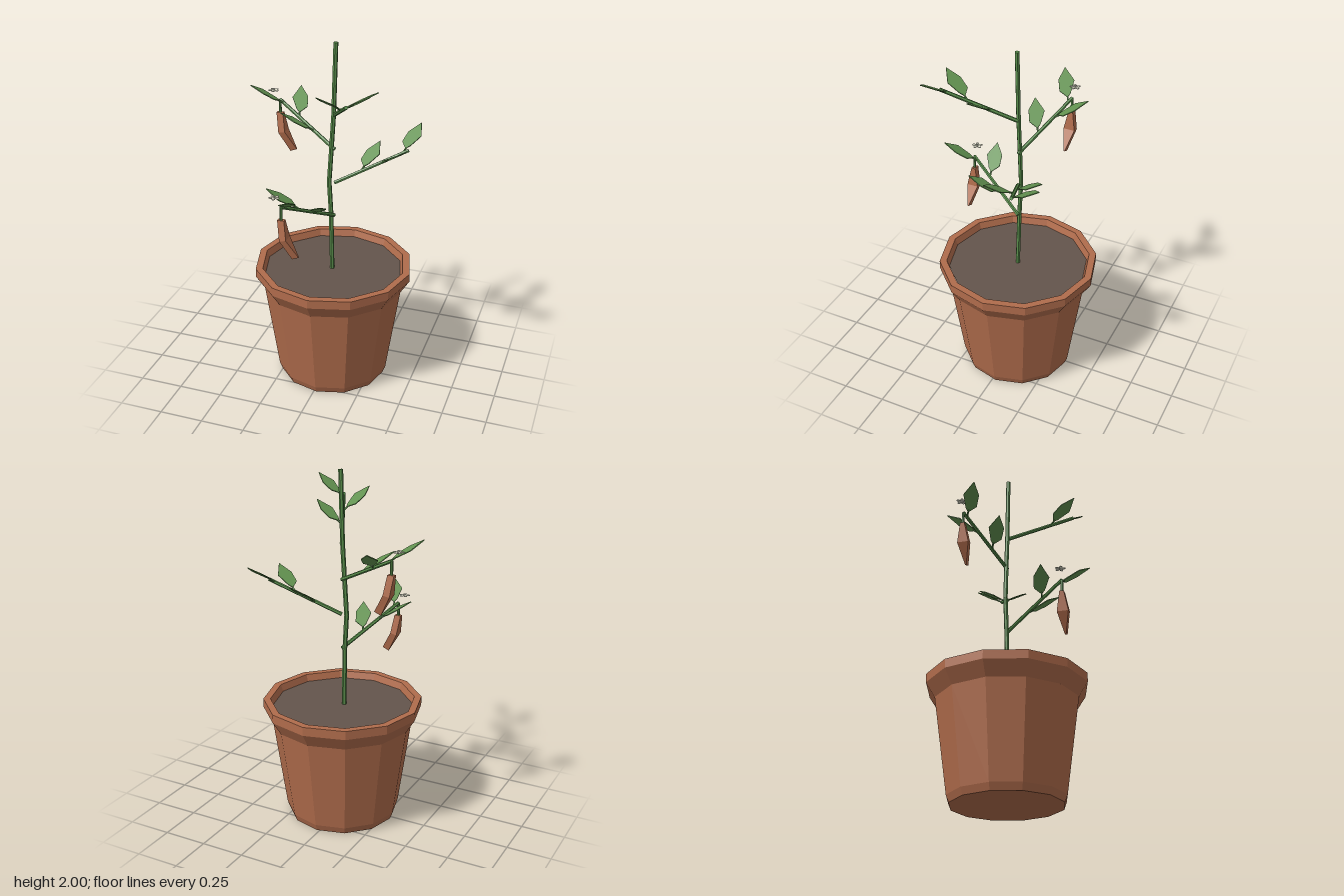
import * as THREE from 'three';

const mat = (name, color) => {
  const m = new THREE.MeshStandardMaterial({ color });
  m.name = name;
  return m;
};
const V = (x, y, z) => new THREE.Vector3(x, y, z);
const UP = V(0, 1, 0);

// Faceted copy of a geometry
function faceted(geo) {
  const g = geo.index ? geo.toNonIndexed() : geo;
  g.computeVertexNormals();
  return g;
}

function add(parent, name, geo, material) {
  const m = new THREE.Mesh(faceted(geo), material);
  m.name = name;
  parent.add(m);
  return m;
}

// Six-sided rod between two points
function rod(parent, name, a, b, r0, r1, material) {
  const d = b.clone().sub(a);
  const m = add(parent, name, new THREE.CylinderGeometry(r1, r0, d.length(), 6), material);
  m.position.copy(a).addScaledVector(d, 0.5);
  m.quaternion.setFromUnitVectors(UP, d.normalize());
  return m;
}

// Leaf blade: x runs to the tip, +y is the fuller side
function leafGeometry(side) {
  const pts = [[0.03, 0], [0.055, -0.018], [0.135, -0.045], [0.22, 0], [0.142, 0.042], [0.07, 0.042]]
    .map(([x, y]) => new THREE.Vector2(x, y * side));
  return new THREE.ExtrudeGeometry(new THREE.Shape(pts), { depth: 0.005, bevelEnabled: false });
}

// Bent pod: rectangular rings [x, y, half depth] joined in a loop
function podGeometry() {
  const rings = [[0, 0, 0.012], [0.016, -0.11, 0.032], [0.077, -0.22, 0.003]];
  const w = 0.019, pos = [], idx = [];
  rings.forEach(([x, y, d], i) => {
    const tilt = i * 0.004;
    pos.push(x - w, y - tilt, d, x + w, y + tilt, d, x + w, y + tilt, -d, x - w, y - tilt, -d);
  });
  for (let i = 0; i < rings.length - 1; i++) {
    for (let k = 0; k < 4; k++) {
      const a = i * 4 + k, b = i * 4 + (k + 1) % 4;
      idx.push(a, a + 4, b, b, a + 4, b + 4);
    }
  }
  idx.push(0, 1, 2, 0, 2, 3, 8, 10, 9, 8, 11, 10);
  const g = new THREE.BufferGeometry();
  g.setAttribute('position', new THREE.Float32BufferAttribute(pos, 3));
  g.setIndex(idx);
  return g;
}

// Flat five-petalled flower
function flower(material) {
  const f = new THREE.Group();
  f.name = 'flower';
  for (let i = 0; i < 5; i++) {
    const petal = add(f, 'petal', new THREE.CylinderGeometry(0.01, 0.01, 0.004, 6), material);
    const a = i * Math.PI * 2 / 5 + 0.2;
    petal.scale.set(1.3, 1, 0.9);
    petal.rotation.y = -a;
    petal.position.set(Math.cos(a) * 0.018, 0, Math.sin(a) * 0.018);
  }
  add(f, 'flowerCentre', new THREE.CylinderGeometry(0.006, 0.004, 0.02, 6), material);
  return f;
}

export function createModel() {
  const model = new THREE.Group();
  model.name = 'pottedPlant';
  const clay = mat('terracotta', 0xb06c4c);
  const soil = mat('soil', 0x64554c);
  const stemGreen = mat('stem green', 0x5a8f4c);
  const leafGreen = mat('leaf green', 0x629250);
  const cream = mat('petal cream', 0xe6e6d2);

  // Twelve-sided pot with a flared rim
  const profile = [[0, 0], [0.31, 0], [0.325, 0.04], [0.4, 0.57], [0.45, 0.65], [0.45, 0.7], [0.41, 0.7], [0.39, 0.64]]
    .map(([x, y]) => new THREE.Vector2(x, y));
  add(model, 'pot', new THREE.LatheGeometry(profile, 12), clay).position.set(0.015, 0, -0.02);
  add(model, 'soil', new THREE.CylinderGeometry(0.396, 0.36, 0.04, 12), soil).position.set(0.015, 0.64, -0.02);

  // Slightly crooked stem
  const stem = [V(0.009, 0.64, -0.014), V(0, 1.0, -0.02), V(-0.013, 1.2, -0.023), V(0, 1.4, -0.022), V(0.013, 1.6, -0.02), V(0.025, 2, -0.017)];
  for (let i = 0; i < stem.length - 1; i++) rod(model, 'stem', stem[i], stem[i + 1], 0.013, 0.013, stemGreen);

  // Branches: base, tip, and whether they carry a flower and pod
  const branches = [
    { y: 1.0, tip: V(-0.158, 1.19, 0.34), fruiting: true },
    { y: 1.2, tip: V(0.397, 1.387, -0.163) },
    { y: 1.4, tip: V(-0.352, 1.59, -0.17), fruiting: true },
    { y: 1.6, tip: V(0.197, 1.79, 0.34) },
  ];
  for (const { y, tip, fruiting } of branches) {
    const branch = new THREE.Group();
    branch.name = 'branch';
    model.add(branch);
    const base = V(0.018, y, -0.02);
    rod(branch, 'twig', base, tip, 0.011, 0.01, stemGreen);

    // Three leaves on alternating sides
    const ahead = tip.clone().sub(base).setY(0).normalize();
    [0.36, 0.64, 0.92].forEach((t, i) => {
      const side = i % 2 ? -1 : 1;
      const flat = ahead.clone().applyAxisAngle(UP, side * 0.9);
      const left = UP.clone().cross(flat);
      const dir = flat.multiplyScalar(Math.cos(0.55)).addScaledVector(UP, Math.sin(0.55));
      const root = base.clone().lerp(tip, t);
      rod(branch, 'leafStalk', root, root.clone().addScaledVector(dir, 0.045), 0.006, 0.005, stemGreen);
      const leaf = add(branch, 'leaf', leafGeometry(side), leafGreen);
      leaf.quaternion.setFromRotationMatrix(new THREE.Matrix4().makeBasis(dir, left, dir.clone().cross(left)));
      leaf.position.copy(root);
    });

    if (fruiting) {
      const top = tip.clone().add(V(0, -0.075, 0));
      rod(branch, 'podStalk', tip, top, 0.008, 0.008, stemGreen);
      add(branch, 'pod', podGeometry(), clay).position.copy(top);
      const bloom = flower(cream);
      bloom.position.copy(tip).add(V(-0.037, 0.05, 0));
      branch.add(bloom);
    }
  }
  return model;
}
